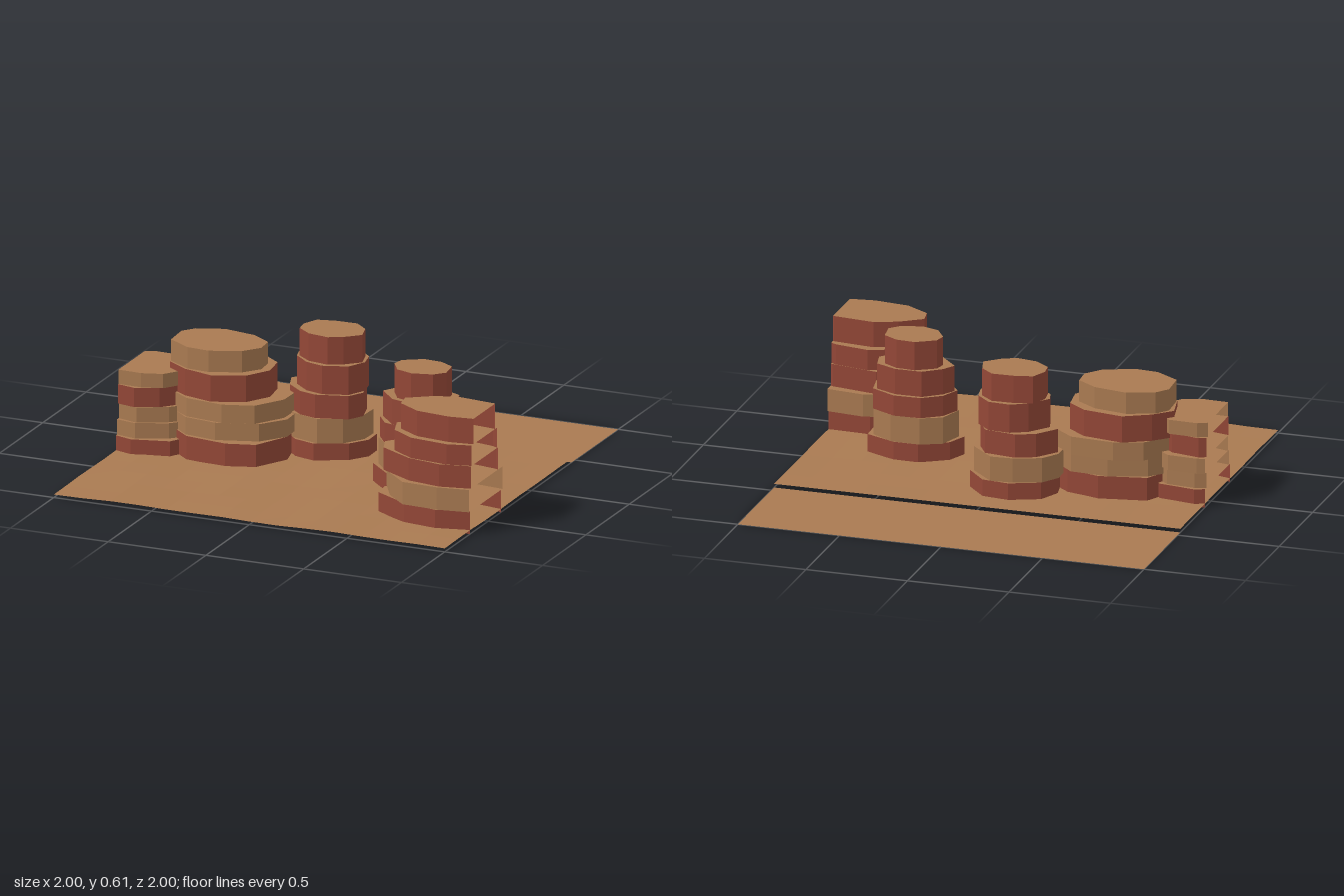
import * as THREE from 'three';

const sand = new THREE.MeshStandardMaterial({ color: 0xa97a51, side: THREE.DoubleSide, flatShading: true });
sand.name = 'sand';
const redRock = new THREE.MeshStandardMaterial({ color: 0x934737, side: THREE.DoubleSide, flatShading: true });
redRock.name = 'redRock';

// Rock stacks: each layer is [x0, x1, z0, z1, top, colour]
const STACKS = {
  bigMesa: { sides: 10, layers: [
    [-0.81, -0.21, -0.18, 0.30, 0.13, 'r'],
    [-0.82, -0.21, -0.17, 0.27, 0.215, 's'],
    [-0.82, -0.23, -0.18, 0.26, 0.305, 's'],
    [-0.825, -0.31, -0.17, 0.24, 0.435, 'r'],
    [-0.80, -0.355, -0.13, 0.20, 0.54, 's']] },
  leftMesa: { sides: 10, layers: [
    [-1.17, -0.66, -0.11, 0.31, 0.09, 'r'],
    [-1.17, -0.66, -0.09, 0.29, 0.165, 's'],
    [-1.16, -0.67, -0.10, 0.28, 0.24, 's'],
    [-1.14, -0.70, -0.08, 0.28, 0.335, 'r'],
    [-1.12, -0.70, -0.07, 0.26, 0.405, 's']] },
  centreTower: { sides: 10, layers: [
    [-0.30, 0.12, -0.33, 0.05, 0.10, 'r'],
    [-0.31, 0.10, -0.32, 0.04, 0.22, 's'],
    [-0.30, 0.10, -0.30, 0.03, 0.335, 'r'],
    [-0.255, 0.095, -0.285, 0.01, 0.475, 'r'],
    [-0.235, 0.085, -0.26, -0.015, 0.61, 'r']] },
  smallTower: { sides: 9, layers: [
    [0.285, 0.73, 0.04, 0.355, 0.105, 'r'],
    [0.31, 0.71, 0.04, 0.33, 0.235, 's'],
    [0.315, 0.72, 0.04, 0.32, 0.335, 'r'],
    [0.325, 0.70, 0.06, 0.315, 0.46, 'r'],
    [0.38, 0.66, 0.07, 0.29, 0.60, 'r']] },
  rightMesa: { sides: 10, layers: [
    [0.48, 1.19, 0.33, 0.75, 0.11, 'r'],
    [0.48, 1.18, 0.315, 0.745, 0.22, 's'],
    [0.48, 1.18, 0.34, 0.73, 0.33, 'r'],
    [0.54, 1.15, 0.35, 0.72, 0.43, 'r'],
    [0.58, 1.10, 0.395, 0.685, 0.555, 'r']] },
};

function seeded(seed) {
  let s = seed * 7919 + 17;
  return () => (s = (s * 16807) % 2147483647) / 2147483647;
}

// Irregular polygon stretched to fill a rectangle
function outline(x0, x1, z0, z1, sides, rand) {
  const raw = [];
  for (let i = 0; i < sides; i++) {
    const a = ((i + 0.35 * (rand() - 0.5)) / sides) * Math.PI * 2 + 0.2;
    const r = 0.93 + 0.14 * rand();
    raw.push(new THREE.Vector2(Math.cos(a) * r, Math.sin(a) * r));
  }
  const box = new THREE.Box2().setFromPoints(raw);
  const size = box.getSize(new THREE.Vector2());
  return raw.map((p) => new THREE.Vector2(
    x0 + ((p.x - box.min.x) / size.x) * (x1 - x0),
    z0 + ((p.y - box.min.y) / size.y) * (z1 - z0)));
}

// Cut a polygon at the tile edge on one side (s = +1 or -1)
function clip(points, s) {
  const out = [];
  points.forEach((a, i) => {
    const b = points[(i + 1) % points.length];
    const inA = a.x * s <= 1, inB = b.x * s <= 1;
    if (inA) out.push(a);
    if (inA !== inB) {
      const p = a.clone().lerp(b, (s - a.x) / (b.x - a.x));
      p.x = s;
      out.push(p);
    }
  });
  return out;
}

function geometry(positions) {
  const g = new THREE.BufferGeometry();
  g.setAttribute('position', new THREE.Float32BufferAttribute(positions, 3));
  g.computeVertexNormals();
  return g;
}

// Walls of a layer, left open where the tile edge cuts it
function wallGeometry(pts, y0, y1) {
  const v = [];
  pts.forEach((a, i) => {
    const b = pts[(i + 1) % pts.length];
    if (Math.abs(a.x) === 1 && a.x === b.x) return;
    v.push(a.x, y0, a.y, a.x, y1, a.y, b.x, y1, b.y);
    v.push(a.x, y0, a.y, b.x, y1, b.y, b.x, y0, b.y);
  });
  return geometry(v);
}

function capGeometry(pts, y) {
  const v = [];
  for (let i = 1; i < pts.length - 1; i++) {
    for (const p of [pts[0], pts[i + 1], pts[i]]) v.push(p.x, y, p.y);
  }
  return geometry(v);
}

function addMesh(parent, geo, mat, name) {
  const mesh = new THREE.Mesh(geo, mat);
  mesh.name = name;
  parent.add(mesh);
  return mesh;
}

export function createModel() {
  const model = new THREE.Group();
  model.name = 'desertMesas';

  // Gently uneven desert floor
  const floor = new THREE.PlaneGeometry(2, 1.46, 14, 10);
  floor.rotateX(-Math.PI / 2);
  floor.translate(0, 0, 0.27);
  const pos = floor.attributes.position;
  for (let i = 0; i < pos.count; i++) {
    const x = pos.getX(i), z = pos.getZ(i);
    const fade = Math.min(1, (z + 0.46) * 1.5);
    pos.setY(i, 0.018 + 0.004 * fade * Math.sin(x * 9 + z * 4) * Math.cos(z * 7 - x * 3));
  }
  floor.computeVertexNormals();
  addMesh(model, floor, sand, 'desertFloor');

  // Flat lower strip at the back
  const strip = new THREE.PlaneGeometry(2, 0.54);
  strip.rotateX(-Math.PI / 2);
  strip.translate(0, 0, -0.73);
  addMesh(model, strip, sand, 'backStrip');

  // Layered rock stacks
  Object.entries(STACKS).forEach(([name, { sides, layers }], k) => {
    const stack = new THREE.Group();
    stack.name = name;
    const rand = seeded(k + 3);
    let y = 0;
    layers.forEach(([x0, x1, z0, z1, top, colour], i) => {
      const pts = clip(clip(outline(x0, x1, z0, z1, sides, rand), 1), -1);
      addMesh(stack, wallGeometry(pts, y, top), colour === 'r' ? redRock : sand, `layerWall${i + 1}`);
      addMesh(stack, capGeometry(pts, top), sand, `layerTop${i + 1}`);
      y = top;
    });
    model.add(stack);
  });
  return model;
}
